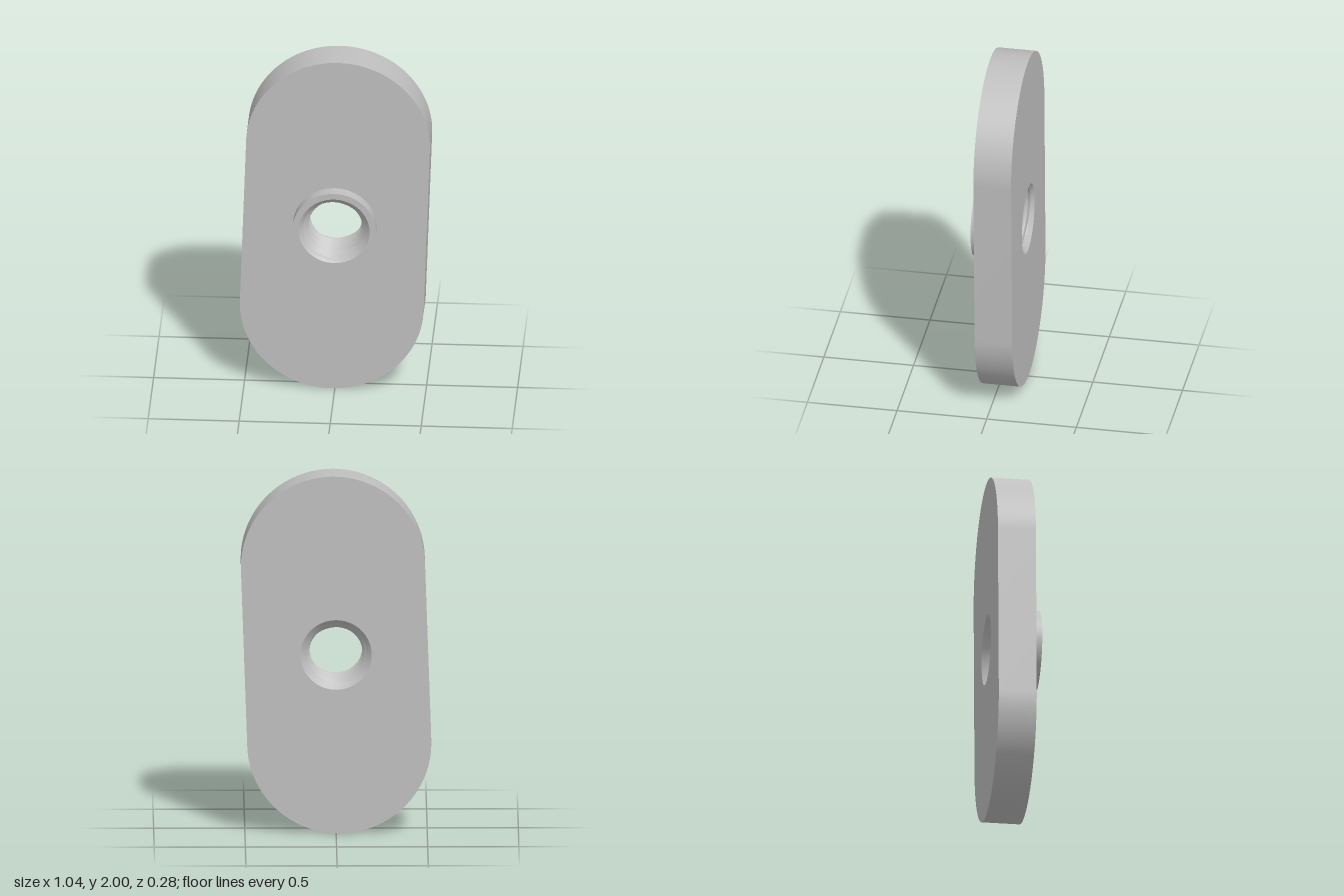
import * as THREE from 'three';
import { toCreasedNormals } from 'three/addons/utils/BufferGeometryUtils.js';

const BACK = -0.14, PLATE_FRONT = 0.07, FRONT = 0.14;
const RIM = 0.195, CREST = 0.145, ROOT = 0.18, PITCH = 0.07;

// Extrude a shape with the central hole between two depths
function slab(shape, z0, z1) {
  shape.holes.push(new THREE.Path().absarc(0, 0, RIM, 0, Math.PI * 2, true));
  const geo = new THREE.ExtrudeGeometry(shape, { depth: z1 - z0, bevelEnabled: false, curveSegments: 48 });
  geo.translate(0, 0, z0);
  return toCreasedNormals(geo, 0.5);
}

// Helical thread in the bore, opened by a chamfer at each end
function threadGeometry() {
  const around = 96, perTurn = 10, rows = perTurn * 5;
  const pos = [], index = [];
  for (let i = 0; i <= around; i++) {
    const a = (i / around) * Math.PI * 2;
    for (let j = 0; j <= rows; j++) {
      const raw = BACK - PITCH + (j / perTurn + i / around) * PITCH;
      const z = THREE.MathUtils.clamp(raw, BACK, FRONT);
      const wave = Math.abs(((j % perTurn) / perTurn) * 2 - 1);
      const cut = CREST + (ROOT - CREST) * THREE.MathUtils.clamp(wave * 1.25 - 0.1, 0, 1);
      const chamfer = RIM - Math.min(z - BACK, FRONT - z);
      const r = Math.max(cut, chamfer);
      pos.push(Math.cos(a) * r, Math.sin(a) * r, z);
    }
  }
  const n = rows + 1;
  for (let i = 0; i < around; i++) {
    for (let j = 0; j < rows; j++) {
      const a = i * n + j, b = a + n;
      index.push(a, a + 1, b, b, a + 1, b + 1);
    }
  }
  const geo = new THREE.BufferGeometry();
  geo.setAttribute('position', new THREE.Float32BufferAttribute(pos, 3));
  geo.setIndex(index);
  return toCreasedNormals(geo, 0.5);
}

export function createModel() {
  const steel = new THREE.MeshStandardMaterial({ color: 0xbfbfbf });
  steel.name = 'steel grey';
  const model = new THREE.Group();
  model.name = 'slotNut';
  const add = (name, geo) => {
    const mesh = new THREE.Mesh(geo, steel);
    mesh.name = name;
    mesh.position.y = 1;
    model.add(mesh);
  };

  // Slightly tilted plate with rounded ends
  const radius = 0.505, half = 0.495, tilt = -0.035;
  const cx = -Math.sin(tilt) * half, cy = Math.cos(tilt) * half;
  const outline = new THREE.Shape();
  outline.absarc(cx, cy, radius, tilt, tilt + Math.PI, false);
  outline.absarc(-cx, -cy, radius, tilt + Math.PI, tilt + Math.PI * 2, false);
  outline.closePath();
  add('plate', slab(outline, BACK, PLATE_FRONT));

  // Raised round collar on the front
  const ring = new THREE.Shape().absarc(0, 0, 0.23, 0, Math.PI * 2, false);
  add('collar', slab(ring, PLATE_FRONT, FRONT));

  // Threaded through hole
  add('threadedBore', threadGeometry());
  return model;
}
